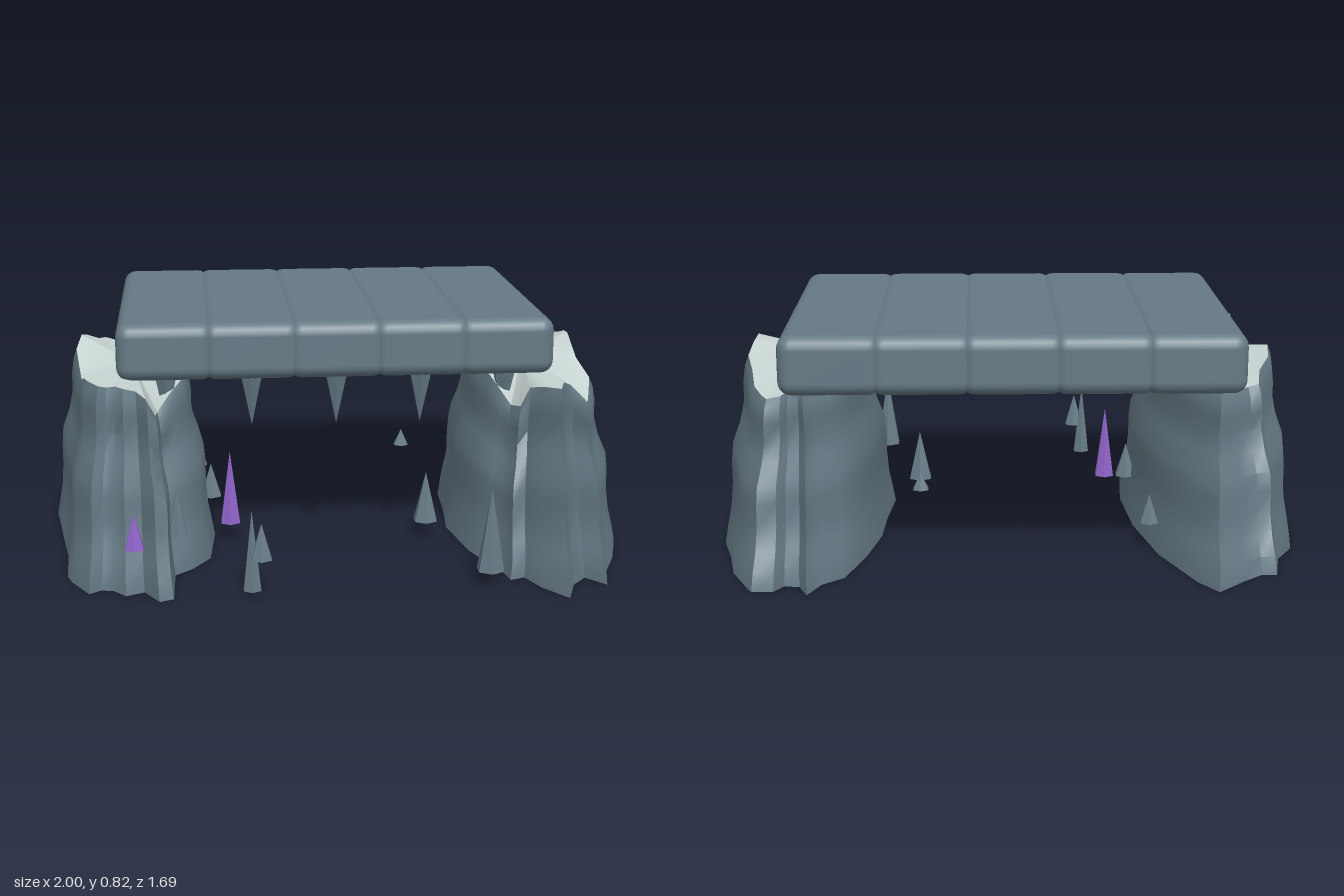
import * as THREE from 'three';
import { toCreasedNormals } from 'three/addons/utils/BufferGeometryUtils.js';
import { RoundedBoxGeometry } from 'three/addons/geometries/RoundedBoxGeometry.js';

const slate = new THREE.MeshStandardMaterial({ name: 'slate', color: 0x667a85, side: THREE.DoubleSide });
const paleStone = new THREE.MeshStandardMaterial({ name: 'paleStone', color: 0xc8d6d4, side: THREE.DoubleSide });
const amethyst = new THREE.MeshStandardMaterial({ name: 'amethyst', color: 0x8f62c8 });

// base outline of each wall: distance from the middle, z, rim height
const leftOutline = [
  [0.46, 0.36, 0.6], [0.5, 0.48, 0.56], [0.53, 0.53, 0.53], [0.55, 0.66, 0.55], [0.6, 0.64, 0.61],
  [0.64, 0.74, 0.63], [0.71, 0.84, 0.64], [0.75, 0.72, 0.64], [0.8, 0.66, 0.62], [0.86, 0.73, 0.58],
  [0.89, 0.6, 0.54], [0.94, 0.48, 0.53], [0.97, 0.38, 0.545], [1, 0.27, 0.575], [0.97, 0.1, 0.62],
  [0.97, -0.1, 0.68], [0.98, -0.22, 0.67], [0.99, -0.35, 0.645], [0.95, -0.5, 0.62], [0.92, -0.65, 0.59],
  [0.87, -0.76, 0.58], [0.84, -0.82, 0.58], [0.77, -0.82, 0.59], [0.74, -0.77, 0.6], [0.69, -0.78, 0.61],
  [0.66, -0.85, 0.6], [0.62, -0.76, 0.6], [0.55, -0.7, 0.6], [0.49, -0.5, 0.61], [0.45, -0.3, 0.62],
  [0.44, -0.1, 0.62], [0.42, 0.1, 0.62],
];
const rightOutline = [
  [0.44, 0.36, 0.61], [0.5, 0.46, 0.58], [0.56, 0.52, 0.53], [0.565, 0.74, 0.56], [0.61, 0.76, 0.62],
  [0.66, 0.67, 0.63], [0.72, 0.7, 0.645], [0.76, 0.65, 0.645], [0.8, 0.64, 0.64], [0.84, 0.67, 0.65],
  [0.9, 0.56, 0.65], [0.92, 0.5, 0.65], [0.93, 0.3, 0.6], [0.96, 0.1, 0.58], [0.98, -0.05, 0.6],
  [1, -0.18, 0.64], [0.98, -0.32, 0.67], [0.96, -0.45, 0.65], [0.9, -0.55, 0.62], [0.87, -0.7, 0.6],
  [0.82, -0.7, 0.59], [0.75, -0.76, 0.59], [0.66, -0.85, 0.6], [0.6, -0.76, 0.6], [0.5, -0.5, 0.61],
  [0.44, -0.2, 0.62], [0.42, 0.1, 0.62],
];
// wall rings: height fraction, width scale, depth scale
const rings = [
  [0, 1, 1], [0.1, 0.96, 0.985], [0.2, 0.92, 0.93], [0.32, 0.9, 0.885], [0.44, 0.9, 0.88], [0.54, 0.88, 0.86],
  [0.65, 0.79, 0.8], [0.76, 0.74, 0.755], [0.86, 0.74, 0.77], [0.95, 0.71, 0.76], [1, 0.67, 0.73],
];
const MID = 0.71;

function meshFrom(points, index, material, name, crease) {
  const geo = new THREE.BufferGeometry();
  geo.setAttribute('position', new THREE.Float32BufferAttribute(points.flat(), 3));
  geo.setIndex(index);
  const mesh = new THREE.Mesh(toCreasedNormals(geo, crease), material);
  mesh.name = name;
  return mesh;
}

// hollow rippled wall with a pale fan across its rim
function rockWall(outline, side, name) {
  const wall = new THREE.Group();
  wall.name = name;
  const loop = outline.map(([x, z, h]) => [side * (x - MID), z, h]);
  if (side < 0) loop.reverse();
  const n = loop.length, points = [], index = [];
  rings.forEach(([t, sx, sz], r) => loop.forEach(([x, z, h], i) => {
    points.push([side * MID + x * sx, t * h, z * sz]);
    if (r === 0) return;
    const j = (i + 1) % n, a = (r - 1) * n, b = r * n;
    index.push(a + i, a + j, b + j, a + i, b + j, b + i);
  }));
  wall.add(meshFrom(points, index, slate, name + 'Shell', 0.75));

  const rim = points.slice(-n), fan = [];
  rim.push([side * 0.7, 0.615, 0]);
  for (let i = 0; i < n; i++) fan.push(n, i, (i + 1) % n);
  wall.add(meshFrom(rim, fan, paleStone, name + 'Top', 0.6));
  return wall;
}

// six-sided spike from its base to its tip; a lower tip makes it hang
function spike(x, z, base, tip, radius, material, name) {
  const height = Math.abs(tip - base);
  const mesh = new THREE.Mesh(toCreasedNormals(new THREE.ConeGeometry(radius, height, 6), 0.3), material);
  mesh.position.set(x, (base + tip) / 2, z);
  if (tip < base) mesh.rotation.x = Math.PI;
  mesh.name = name;
  return mesh;
}

export function createModel() {
  const model = new THREE.Group();
  model.name = 'rockArch';
  model.add(rockWall(leftOutline, 1, 'leftWall'), rockWall(rightOutline, -1, 'rightWall'));

  // roof planks, each with a hanging spike near the front
  for (let i = -2; i <= 2; i++) {
    const plank = new THREE.Mesh(new RoundedBoxGeometry(0.33, 0.195, 1.115, 3, 0.045), slate);
    plank.position.set(i * 0.29, 0.722, -0.202);
    plank.name = 'roofPlank';
    model.add(plank, spike(i * 0.29, 0.29, 0.63, 0.455, 0.04, slate, 'stalactite'));
  }

  // standing rock spikes
  [
    [-0.31, 0.7, 0.01, 0.28, 0.033], [-0.28, 0.715, 0.12, 0.24, 0.038], [0.475, 0.69, 0.05, 0.33, 0.048],
    [0.33, 0.19, 0.06, 0.24, 0.045], [0.31, -0.35, 0.19, 0.25, 0.03], [-0.55, 0.47, 0.12, 0.29, 0.035],
    [-0.43, 0.02, 0.12, 0.24, 0.04], [-0.47, -0.45, 0.1, 0.2, 0.035], [-0.84, 0.08, 0.1, 0.22, 0.035],
    [0.84, 0.39, 0.1, 0.18, 0.035],
  ].forEach(([x, z, base, tip, r]) => model.add(spike(x, z, base, tip, r, slate, 'stalagmite')));

  // purple crystals
  [
    [-0.365, 0.18, 0.07, 0.33, 0.038], [-0.69, 0.64, 0.14, 0.26, 0.035],
    [0.56, -0.35, 0.1, 0.3, 0.038], [-0.72, -0.16, 0.1, 0.2, 0.03],
  ].forEach(([x, z, base, tip, r]) => model.add(spike(x, z, base, tip, r, amethyst, 'crystal')));

  return model;
}
